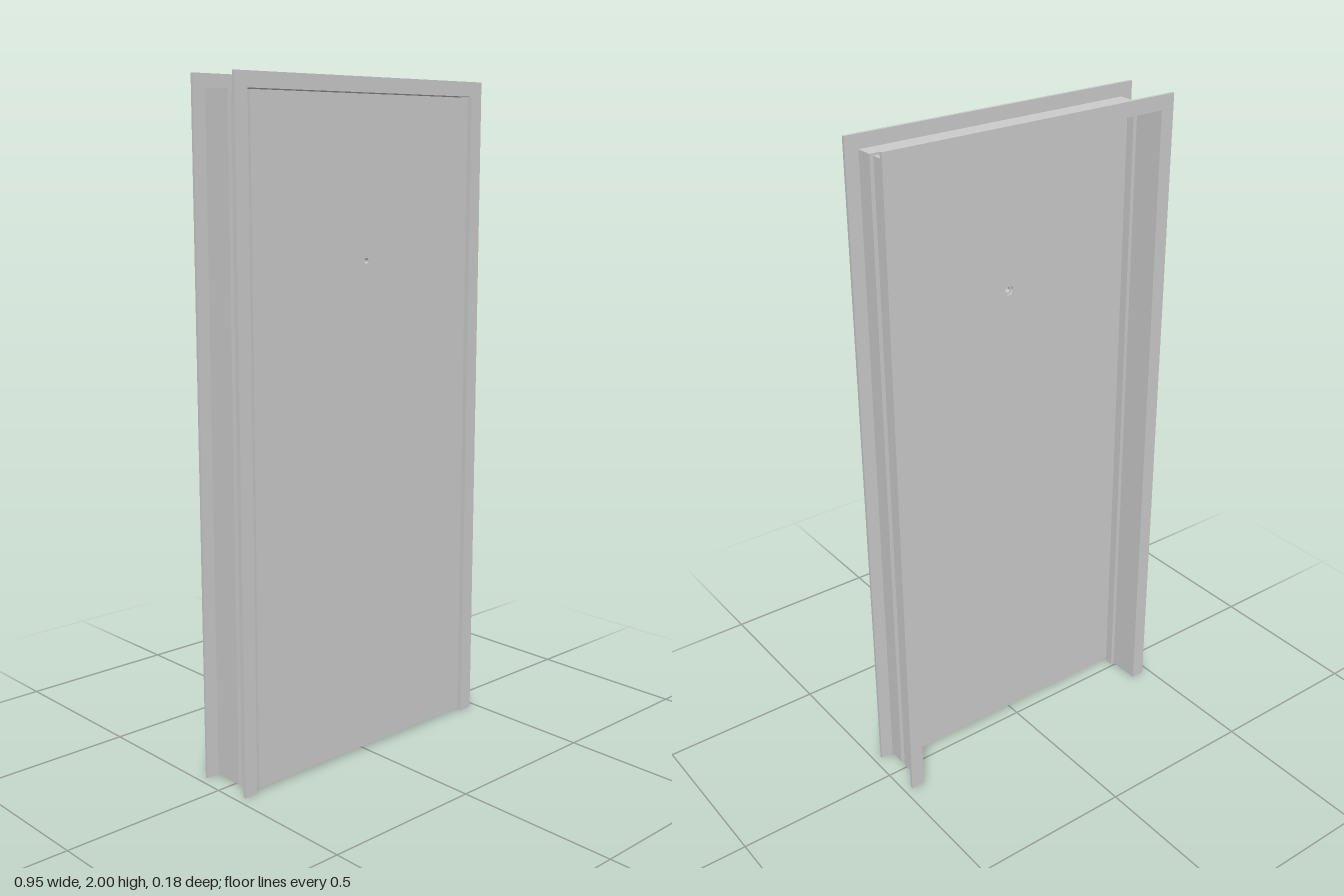
import * as THREE from 'three';

const HALF = 0.475, HEIGHT = 2;
const material = new THREE.MeshStandardMaterial({ color: 0xcccccc, flatShading: true });

function extrude(name, shape, z0, z1) {
  const geometry = new THREE.ExtrudeGeometry(shape, { depth: z1 - z0, bevelEnabled: false, curveSegments: 12 });
  geometry.translate(0, 0, z0);
  const mesh = new THREE.Mesh(geometry, material);
  mesh.name = name;
  return mesh;
}

// Upside-down U running up one side, across the head and down the other
function surround(name, outer, inner, z0, z1) {
  const top = (x) => HEIGHT - (HALF - x);
  const points = [
    [-outer, 0], [-inner, 0], [-inner, top(inner)], [inner, top(inner)],
    [inner, 0], [outer, 0], [outer, top(outer)], [-outer, top(outer)],
  ].map(([x, y]) => new THREE.Vector2(x, y));
  return extrude(name, new THREE.Shape(points), z0, z1);
}

// Door panel layer with a round viewing hole
function panel(name, radius, z0, z1) {
  const w = 0.42, bottom = 0.012, top = 1.953;
  const shape = new THREE.Shape();
  shape.moveTo(-w, bottom).lineTo(w, bottom).lineTo(w, top).lineTo(-w, top).closePath();
  const hole = new THREE.Path();
  hole.absarc(0, 1.49, radius, 0, Math.PI * 2, true);
  shape.holes.push(hole);
  return extrude(name, shape, z0, z1);
}

export function createModel() {
  const model = new THREE.Group();
  model.name = 'doorWithFrame';

  // Folded sheet frame: flat casings, jamb lining and a stop pressed inward
  const frame = new THREE.Group();
  frame.name = 'frame';
  const wall = 0.003, jamb = 0.435, stop = 0.423;
  frame.add(
    surround('frontCasing', HALF, jamb - wall, 0.083, 0.092),
    surround('frontJamb', jamb, jamb - wall, 0.035, 0.083),
    surround('stopFrontStep', jamb, stop - wall, 0.032, 0.035),
    surround('doorStop', stop, stop - wall, 0.012, 0.032),
    surround('stopBackStep', jamb, stop - wall, 0.009, 0.012),
    surround('backJamb', jamb, jamb - wall, -0.083, 0.009),
    surround('backCasing', HALF, jamb - wall, -0.092, -0.083),
  );

  // Door leaf; the viewing hole is wider at the back
  const door = new THREE.Group();
  door.name = 'door';
  door.add(
    panel('doorFrontPanel', 0.008, 0.042, 0.087),
    panel('doorBackPanel', 0.014, 0.036, 0.042),
  );

  model.add(frame, door);
  return model;
}
